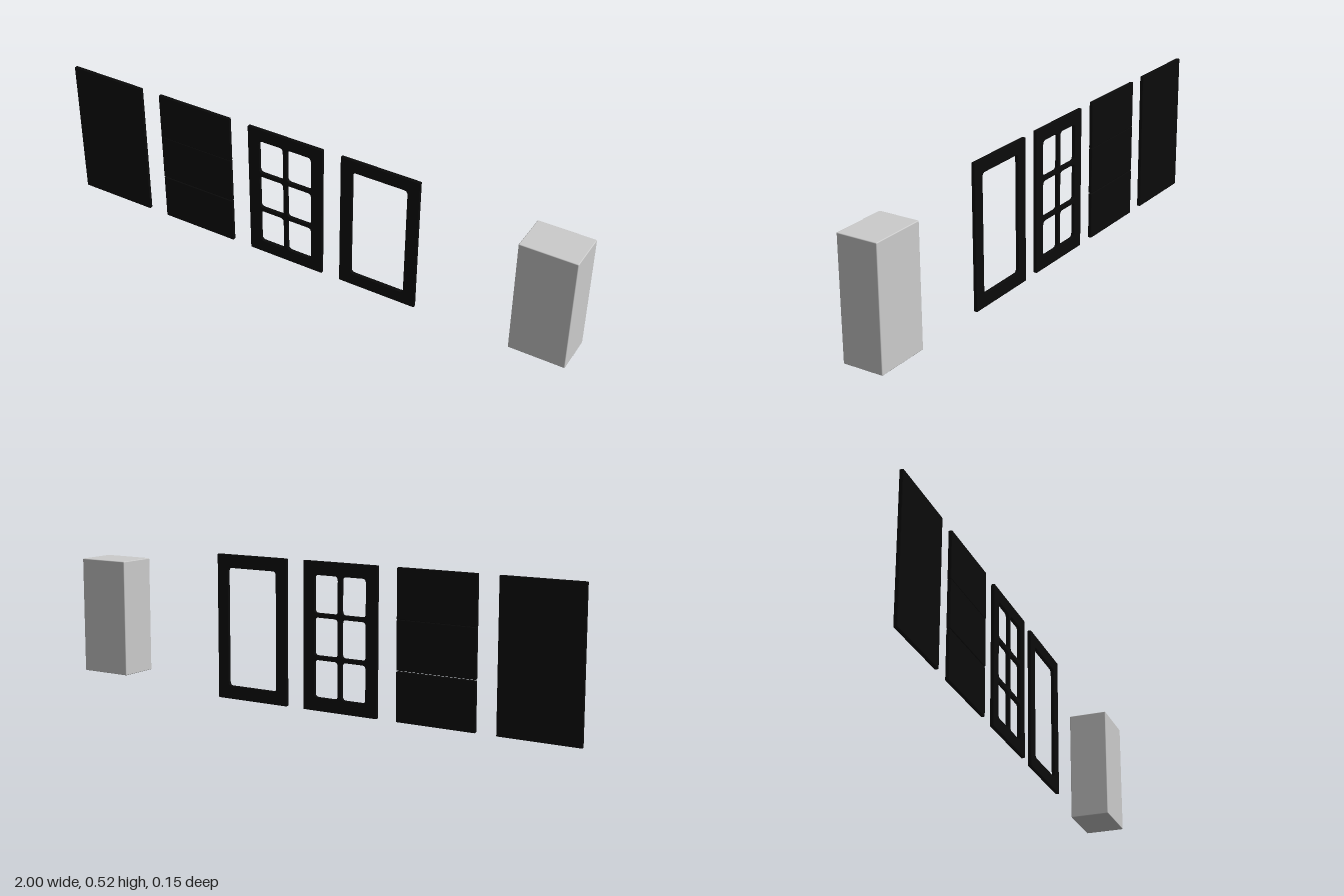
import * as THREE from 'three';
import { RoundedBoxGeometry } from 'three/addons/geometries/RoundedBoxGeometry.js';

const W = 0.298, H = 0.525, T = 0.013, BEVEL = 0.002;

// Traces a rounded rectangle onto a Shape or Path.
function roundedRect(path, x0, y0, x1, y1, r) {
  path.moveTo(x0 + r, y0);
  path.lineTo(x1 - r, y0);
  path.quadraticCurveTo(x1, y0, x1, y0 + r);
  path.lineTo(x1, y1 - r);
  path.quadraticCurveTo(x1, y1, x1 - r, y1);
  path.lineTo(x0 + r, y1);
  path.quadraticCurveTo(x0, y1, x0, y1 - r);
  path.lineTo(x0, y0 + r);
  path.quadraticCurveTo(x0, y0, x0 + r, y0);
  return path;
}

// Thin upright slab with softened edges; holes are [x0, y0, x1, y1].
function slab(y0, y1, holes = []) {
  const shape = roundedRect(new THREE.Shape(), -W / 2, y0, W / 2, y1, 0.003);
  for (const h of holes) shape.holes.push(roundedRect(new THREE.Path(), ...h, 0.014));
  const geo = new THREE.ExtrudeGeometry(shape, {
    depth: T - 2 * BEVEL, curveSegments: 5,
    bevelThickness: BEVEL, bevelSize: BEVEL, bevelOffset: -BEVEL, bevelSegments: 2,
  });
  return geo.translate(0, 0, BEVEL - T / 2);
}

export function createModel() {
  const model = new THREE.Group();
  const black = new THREE.MeshStandardMaterial({ color: 0x0a0a0a });
  const grey = new THREE.MeshStandardMaterial({ color: 0xcccccc });

  function panel(name, x, z, geometries) {
    const group = new THREE.Group();
    group.name = name;
    group.position.set(x, 0, z);
    geometries.forEach((geo, i) => {
      const mesh = new THREE.Mesh(geo, black);
      mesh.name = `${name}Section${i + 1}`;
      group.add(mesh);
    });
    model.add(group);
  }

  // Plain panel
  panel('solidPanel', -0.851, 0.001, [slab(0, H)]);

  // Panel split into three stacked boards
  panel('boardedPanel', -0.476, 0.001, [slab(0, 0.174), slab(0.177, 0.3495), slab(0.35, H)]);

  // Window with two columns and three rows of openings
  const panes = [];
  for (const [x0, x1] of [[-0.104, -0.008], [0.008, 0.104]])
    for (const [y0, y1] of [[0.048, 0.18], [0.196, 0.329], [0.345, 0.477]])
      panes.push([x0, y0, x1, y1]);
  panel('sixPaneWindow', -0.102, 0.001, [slab(0, H, panes)]);

  // Frame with one large opening
  panel('openFrame', 0.266, -0.001, [slab(0, H, [[-0.104, 0.048, 0.104, 0.477]])]);

  // Free-standing block, raised off the ground
  const block = new THREE.Mesh(new RoundedBoxGeometry(0.202, 0.428, 0.148, 2, 0.003), grey);
  block.name = 'block';
  block.position.set(0.899, 0.263, 0);
  model.add(block);

  return model;
}
